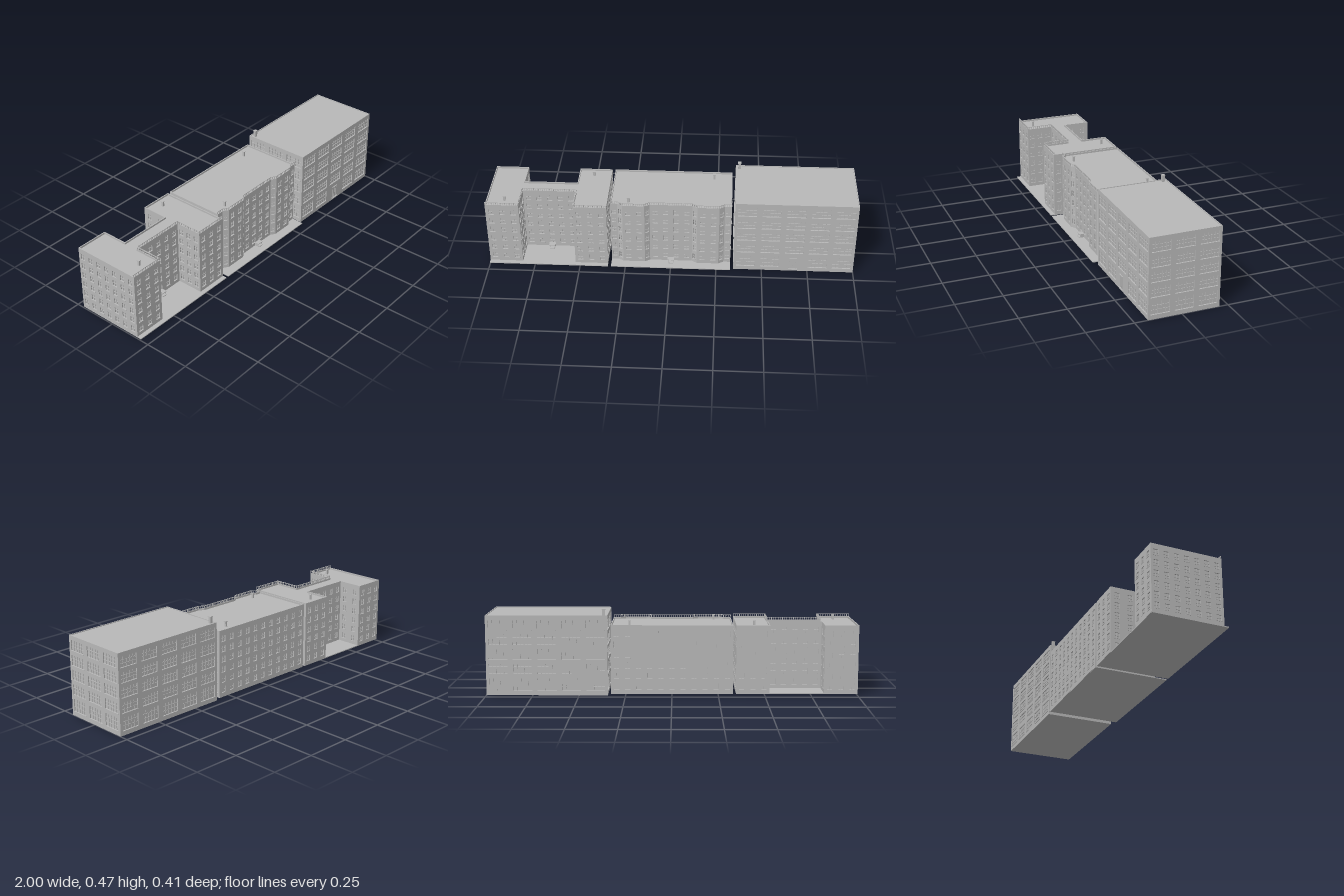
import * as THREE from 'three';
import { mergeGeometries } from 'three/addons/utils/BufferGeometryUtils.js';

const concrete = new THREE.MeshStandardMaterial({ color: 0xb8b8b8 });
concrete.name = 'grey concrete';
const RECESS = 0.006;

function mesh(geometry, name, parent) {
  const m = new THREE.Mesh(geometry, concrete);
  m.name = name;
  parent.add(m);
  return m;
}

function box(w, h, d, x, y, z) {
  return new THREE.BoxGeometry(w, h, d).translate(x, y, z);
}

// Vertical prism over a footprint of [x, z] points, with an optional courtyard hole
function prism(points, y0, y1, hole) {
  const v = (p) => p.map(([x, z]) => new THREE.Vector2(x, -z));
  const shape = new THREE.Shape(v(points));
  if (hole) shape.holes.push(new THREE.Path(v(hole)));
  return new THREE.ExtrudeGeometry(shape, { depth: y1 - y0, bevelEnabled: false })
    .rotateX(-Math.PI / 2).translate(0, y0, 0);
}

// Footprint moved inwards by a distance, with mitred corners
function inset(points, d) {
  const n = points.length;
  const normal = (a, b) => {
    const l = Math.hypot(b[0] - a[0], b[1] - a[1]);
    return [-(b[1] - a[1]) / l, (b[0] - a[0]) / l];
  };
  return points.map((p, i) => {
    const m = normal(points[(i + n - 1) % n], p);
    const k = normal(p, points[(i + 1) % n]);
    const s = d / (1 + m[0] * k[0] + m[1] * k[1]);
    return [p[0] - (m[0] + k[0]) * s, p[1] - (m[1] + k[1]) * s];
  });
}

// Group whose local x runs from a to b and whose local z faces outwards
function along(a, b, name, parent) {
  const g = new THREE.Group();
  g.name = name;
  g.position.set(a[0], 0, a[1]);
  g.rotation.y = Math.atan2(-(b[1] - a[1]), b[0] - a[0]);
  parent.add(g);
  return g;
}

// Wall panel with punched windows, glazing bars and sills
function facade(a, b, style, parent, skip) {
  const g = along(a, b, 'facade', parent);
  const len = Math.hypot(b[0] - a[0], b[1] - a[1]);
  const cols = Math.max(1, Math.round(len / style.pitch));
  const cell = len / cols;
  const w = Math.min(style.width, cell * 0.6 + (cols > 1 ? 1 : 0));
  const wall = new THREE.Shape([[0, style.y0], [len, style.y0], [len, style.y1], [0, style.y1]]
    .map(([x, y]) => new THREE.Vector2(x, y)));
  const bars = [], sills = [];
  for (let c = 0; c < cols; c++) {
    const x = cell * (c + 0.5);
    style.rows.forEach(([lo, hi], r) => {
      if (skip && skip(c, r)) return;
      wall.holes.push(new THREE.Path([[x - w / 2, lo], [x - w / 2, hi], [x + w / 2, hi], [x + w / 2, lo]]
        .map(([px, py]) => new THREE.Vector2(px, py))));
      for (let i = 1; i < style.panesX; i++) {
        bars.push(box(style.bar, hi - lo, 0.003, x - w / 2 + w * i / style.panesX, (lo + hi) / 2, -RECESS + 0.0015));
      }
      for (let i = 1; i < style.panesY; i++) {
        bars.push(box(w, style.bar, 0.003, x, lo + (hi - lo) * i / style.panesY, -RECESS + 0.0015));
      }
      sills.push(box(w + 0.003, 0.002, 0.004, x, lo - 0.001, 0));
    });
  }
  mesh(new THREE.ExtrudeGeometry(wall, { depth: RECESS, bevelEnabled: false }).translate(0, 0, -RECESS), 'wall', g);
  mesh(mergeGeometries(bars), 'glazingBars', g);
  mesh(mergeGeometries(sills), 'windowSills', g);
}

// Core, four or more facades, roof and parapet
function building(name, points, style, roofY, parent, skip) {
  const g = new THREE.Group();
  g.name = name;
  parent.add(g);
  mesh(prism(inset(points, RECESS), style.y0, roofY), 'core', g);
  points.forEach((p, i) => facade(p, points[(i + 1) % points.length], style, g,
    skip && ((c, r) => skip(i, c, r))));
  mesh(prism(points, style.y1, roofY), 'roof', g);
  mesh(prism(points, roofY, style.top, inset(points, 0.005)), 'parapet', g);
  return g;
}

// Balustrade following the roof edge
function railing(path, y0, y1, parent) {
  for (let i = 0; i + 1 < path.length; i++) {
    const a = path[i], b = path[i + 1];
    const g = along(a, b, 'roofRailing', parent);
    const len = Math.hypot(b[0] - a[0], b[1] - a[1]);
    const n = Math.max(2, Math.round(len / 0.012));
    const parts = [box(len, 0.003, 0.004, len / 2, y1 - 0.0015, -0.003)];
    for (let k = 0; k <= n; k++) {
      parts.push(box(0.003, y1 - y0, 0.003, len * k / n, (y0 + y1) / 2, -0.003));
    }
    mesh(mergeGeometries(parts), 'balusters', g);
  }
}

function chimney(x, z, y0, y1, w, parent) {
  mesh(mergeGeometries([
    box(w, y1 - y0, w, x, (y0 + y1) / 2, z),
    box(w + 0.004, 0.003, w + 0.004, x, y1 - 0.0015, z),
  ]), 'chimney', parent);
}

// Entrance canopy with side walls, door and step
function porch(x, z, parent) {
  const parts = [box(0.036, 0.003, 0.026, x, 0.033, z + 0.013), box(0.026, 0.004, 0.03, x, 0.015, z + 0.015)];
  for (const s of [-1, 1]) parts.push(box(0.003, 0.02, 0.022, x + s * 0.014, 0.023, z + 0.011));
  parts.push(box(0.012, 0.016, 0.003, x, 0.024, z + 0.001));
  mesh(mergeGeometries(parts), 'porch', parent);
}

export function createModel() {
  const model = new THREE.Group();
  model.name = 'apartmentBlocks';

  // Tall block with wide multi-pane windows
  const wide = {
    y0: 0, y1: 0.424, top: 0.434, pitch: 0.129, width: 0.1, panesX: 5, panesY: 3, bar: 0.003,
    rows: [[0.025, 0.093], [0.117, 0.172], [0.197, 0.252], [0.275, 0.33], [0.355, 0.41]],
  };
  const tall = building('tallBlock', [[0.345, 0.18], [1, 0.18], [1, -0.203], [0.345, -0.203]],
    wide, 0.43, model, (side, c, r) => side === 0 && c === 2 && r === 0);
  chimney(0.366, -0.178, 0.43, 0.467, 0.015, tall);
  const door = [box(0.05, 0.003, 0.009, 0.67, 0.014, 0.1835), box(0.04, 0.004, 0.006, 0.67, 0.086, 0.182)];
  for (const dx of [-0.018, 0, 0.018]) door.push(box(0.004, 0.07, 0.004, 0.67 + dx, 0.05, 0.181));
  mesh(mergeGeometries(door), 'entrance', tall);

  // Six-storey style shared by the two older blocks
  const narrow = {
    y0: 0.01, y1: 0.368, top: 0.382, pitch: 0.058, width: 0.027, panesX: 2, panesY: 2, bar: 0.0025,
    rows: Array.from({ length: 6 }, (_, i) => [0.034 + i * 0.057, 0.067 + i * 0.057]),
  };

  // Middle block with two angled bays on the front
  const bayFront = [[-0.328, 0.135], [-0.29, 0.135], [-0.262, 0.153], [-0.143, 0.153], [-0.115, 0.135],
    [0.115, 0.135], [0.143, 0.153], [0.262, 0.153], [0.29, 0.135], [0.328, 0.135]];
  const middle = building('bayBlock', [...bayFront, [0.328, -0.205], [-0.328, -0.205]], narrow, 0.372, model);
  railing(bayFront, 0.382, 0.397, middle);
  chimney(-0.232, 0.1, 0.372, 0.402, 0.011, middle);
  chimney(0.228, -0.15, 0.372, 0.402, 0.011, middle);
  porch(0, 0.135, middle);

  // Left block with an H-shaped plan
  const courtFront = [[-1, 0.18], [-0.818, 0.18], [-0.818, 0.031], [-0.526, 0.031], [-0.526, 0.18], [-0.345, 0.18]];
  const left = building('courtyardBlock', [...courtFront, [-0.345, -0.205], [-0.526, -0.205], [-0.526, -0.06],
    [-0.818, -0.06], [-0.818, -0.205], [-1, -0.205]], narrow, 0.372, model);
  railing(courtFront, 0.382, 0.397, left);
  chimney(-0.902, 0.12, 0.372, 0.402, 0.011, left);
  chimney(-0.443, -0.15, 0.372, 0.402, 0.011, left);
  porch(-0.672, 0.031, left);

  // Paved bases under the two older blocks
  mesh(box(0.656, 0.005, 0.408, 0, 0.0105, 0), 'middlePavement', model);
  mesh(box(0.655, 0.005, 0.408, -0.6725, 0.0105, 0), 'leftPavement', model);
  return model;
}
